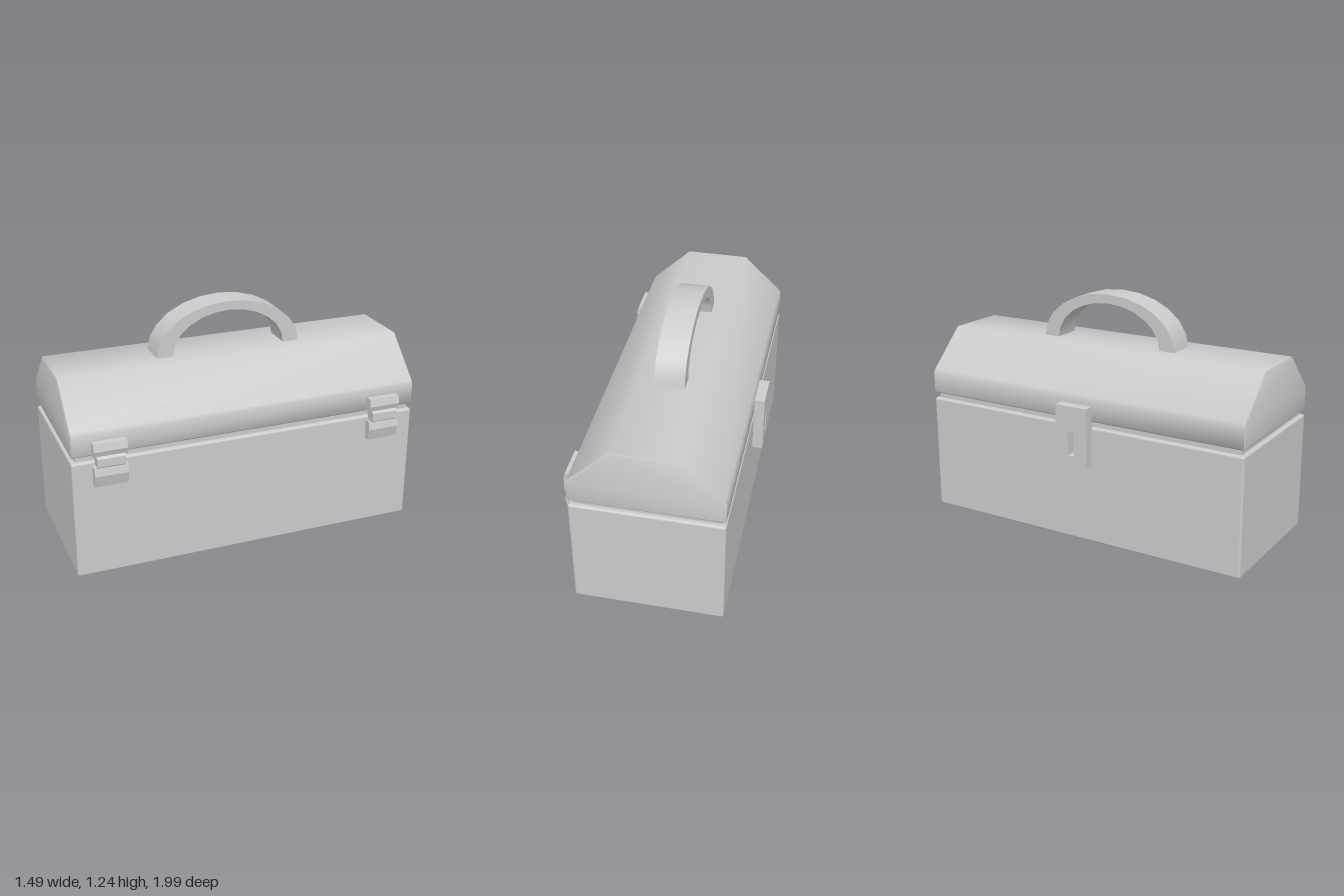
import * as THREE from 'three';
import { toCreasedNormals } from 'three/addons/utils/BufferGeometryUtils.js';
import { RoundedBoxGeometry } from 'three/addons/geometries/RoundedBoxGeometry.js';

const material = new THREE.MeshStandardMaterial({ color: 0xcccccc });
const LENGTH = 1.847;
const HALF_W = 0.382;

function part(name, geometry, parent) {
  const mesh = new THREE.Mesh(geometry, material);
  mesh.name = name;
  parent.add(mesh);
  return mesh;
}

const shapeFrom = (points) => new THREE.Shape(points.map(([x, y]) => new THREE.Vector2(x, y)));

// Extrudes a (z, y) cross-section along x, centred on x = 0
function alongX(points, length, bevel = 0, crease = 0.85) {
  const thick = bevel / 2;
  const geometry = new THREE.ExtrudeGeometry(shapeFrom(points), {
    depth: length - 2 * thick,
    bevelEnabled: bevel > 0,
    bevelThickness: thick,
    bevelSize: bevel,
    bevelOffset: -bevel,
    bevelSegments: 1,
  });
  geometry.translate(0, 0, thick - length / 2).rotateY(-Math.PI / 2);
  return toCreasedNormals(geometry, crease);
}

function makeHinge(x) {
  const hinge = new THREE.Group();
  hinge.name = 'hinge';
  hinge.position.x = x;
  part('lowerHingeLeaf', alongX([[0.375, 0.5], [0.41, 0.5], [0.425, 0.56], [0.415, 0.605], [0.375, 0.605]], 0.168, 0, 0.1), hinge);
  part('upperHingeLeaf', alongX([[0.375, 0.66], [0.415, 0.66], [0.425, 0.69], [0.415, 0.73], [0.375, 0.73]], 0.168, 0, 0.1), hinge);
  // Six-sided pin between the leaves
  const pin = [];
  for (let i = 0; i < 6; i++) {
    const a = Math.PI / 2 + (i * Math.PI) / 3;
    pin.push([0.4 + 0.034 * Math.cos(a), 0.632 + 0.042 * Math.sin(a)]);
  }
  part('hingePin', alongX(pin, 0.14, 0, 0.1), hinge);
  return hinge;
}

// Faceted arch, thicker at its feet than at its crown
function handleGeometry() {
  const arc = (rx, ry) => Array.from({ length: 13 }, (_, i) => {
    const a = (i * Math.PI) / 12;
    return [rx * Math.cos(a), 0.98 + ry * Math.sin(a)];
  });
  const outline = [...arc(0.39, 0.26), ...arc(0.304, 0.213).reverse()];
  const geometry = new THREE.ExtrudeGeometry(shapeFrom(outline), { depth: 0.152, bevelEnabled: false });
  geometry.translate(0, 0, -0.076);
  return toCreasedNormals(geometry, 0.6);
}

// Plate with a keyhole slot
function latchGeometry() {
  const plate = shapeFrom([[-0.09, 0.42], [0.09, 0.42], [0.09, 0.735], [-0.09, 0.735]]);
  const slot = [[-0.018, 0.475], [-0.018, 0.605], [0.018, 0.605], [0.018, 0.475]];
  plate.holes.push(new THREE.Path(slot.map(([x, y]) => new THREE.Vector2(x, y))));
  const geometry = new THREE.ExtrudeGeometry(plate, { depth: 0.057, bevelEnabled: false });
  return geometry.translate(0, 0, -0.435);
}

export function createModel() {
  const model = new THREE.Group();
  model.name = 'toolbox';
  const box = new THREE.Group();
  box.name = 'toolboxAssembly';
  box.rotation.y = THREE.MathUtils.degToRad(64);
  model.add(box);

  // Lower tray
  part('body', new RoundedBoxGeometry(LENGTH, 0.625, 2 * HALF_W, 2, 0.012), box).position.y = 0.3125;

  // Recessed seam between tray and lid
  part('seam', new THREE.BoxGeometry(LENGTH - 0.045, 0.07, 2 * HALF_W - 0.045), box).position.y = 0.64;

  // Lid with sloped shoulders
  const half = [[HALF_W - 0.01, 0.653], [HALF_W, 0.663], [HALF_W, 0.765], [0.373, 0.785], [0.165, 0.982]];
  const mirrored = half.map(([z, y]) => [-z, y]).reverse();
  part('lid', alongX([...half, ...mirrored], LENGTH, 0.01), box);

  part('handle', handleGeometry(), box);
  part('latch', latchGeometry(), box);
  for (const side of [-1, 1]) box.add(makeHinge(side * 0.737));

  return model;
}
